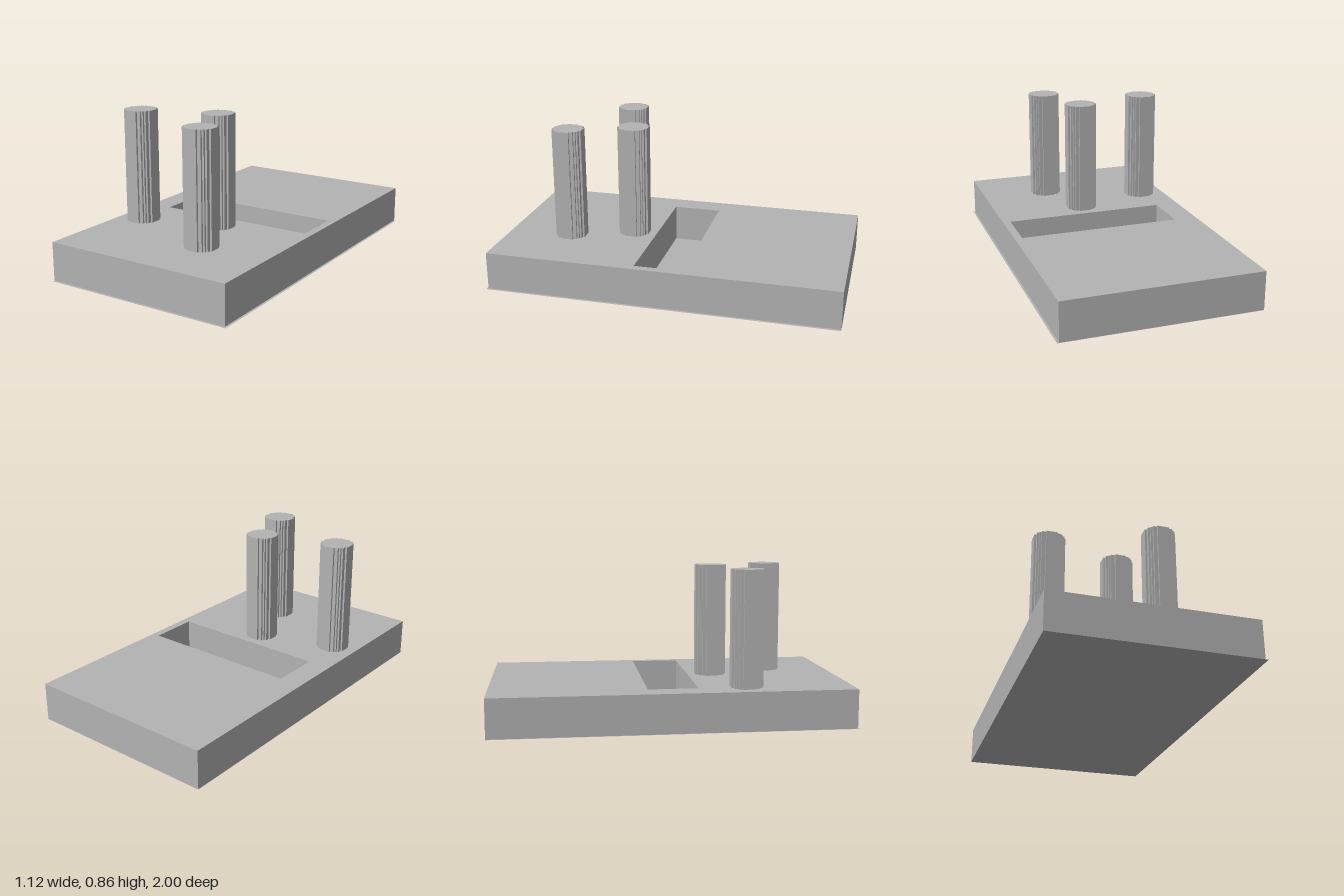
import * as THREE from 'three';

const CELL = 2 / 183; // stair step of the pillar outline

// Extrude a plan outline given in (x, z) upwards from y0 to y1
function extrudeUp(points, y0, y1, holes = []) {
  const toVec = ([x, z]) => new THREE.Vector2(x, -z);
  const shape = new THREE.Shape(points.map(toVec));
  holes.forEach((h) => shape.holes.push(new THREE.Path(h.map(toVec))));
  const geometry = new THREE.ExtrudeGeometry(shape, { depth: y1 - y0, bevelEnabled: false });
  geometry.rotateX(-Math.PI / 2);
  geometry.translate(0, y0, 0);
  return geometry;
}

const rect = (x0, x1, z0, z1) => [[x0, z1], [x1, z1], [x1, z0], [x0, z0]];

// Stepped circle, eight cells in radius: one quadrant turned four times
function steppedCircle() {
  const quadrant = [[8, -3], [8, 3], [7, 3], [7, 5], [6, 5], [6, 6], [5, 6], [5, 7], [3, 7], [3, 8]];
  const points = [];
  for (let i = 0; i < 4; i++) {
    for (const [a, b] of quadrant.slice(1)) {
      const [x, z] = [[a, b], [-b, a], [-a, -b], [b, -a]][i];
      points.push([x * CELL, z * CELL]);
    }
  }
  return points;
}

export function createModel() {
  const model = new THREE.Group();
  const grey = new THREE.MeshStandardMaterial({ color: 0xb3b3b3, side: THREE.DoubleSide });
  grey.name = 'grey';

  const add = (name, geometry) => {
    const mesh = new THREE.Mesh(geometry, grey);
    mesh.name = name;
    model.add(mesh);
    return mesh;
  };

  // Slab with a rectangular slot
  const slot = rect(-0.423, 0.503, -0.143, 0.135);
  add('baseSlab', extrudeUp(rect(-0.557, 0.547, -1, 0.989), 0.002, 0.219, [slot]));

  // Flat sheet closing the slab from below
  const sheet = new THREE.PlaneGeometry(1.115, 2);
  sheet.rotateX(Math.PI / 2);
  add('bottomSheet', sheet);

  // Three stepped pillars
  const pillar = extrudeUp(steppedCircle(), 0.219, 0.863);
  [[-0.408, 0.4], [0.025, 0.27], [0.154, 0.619]].forEach(([x, z], i) => {
    add('pillar' + (i + 1), pillar).position.set(x, 0, z);
  });

  return model;
}
